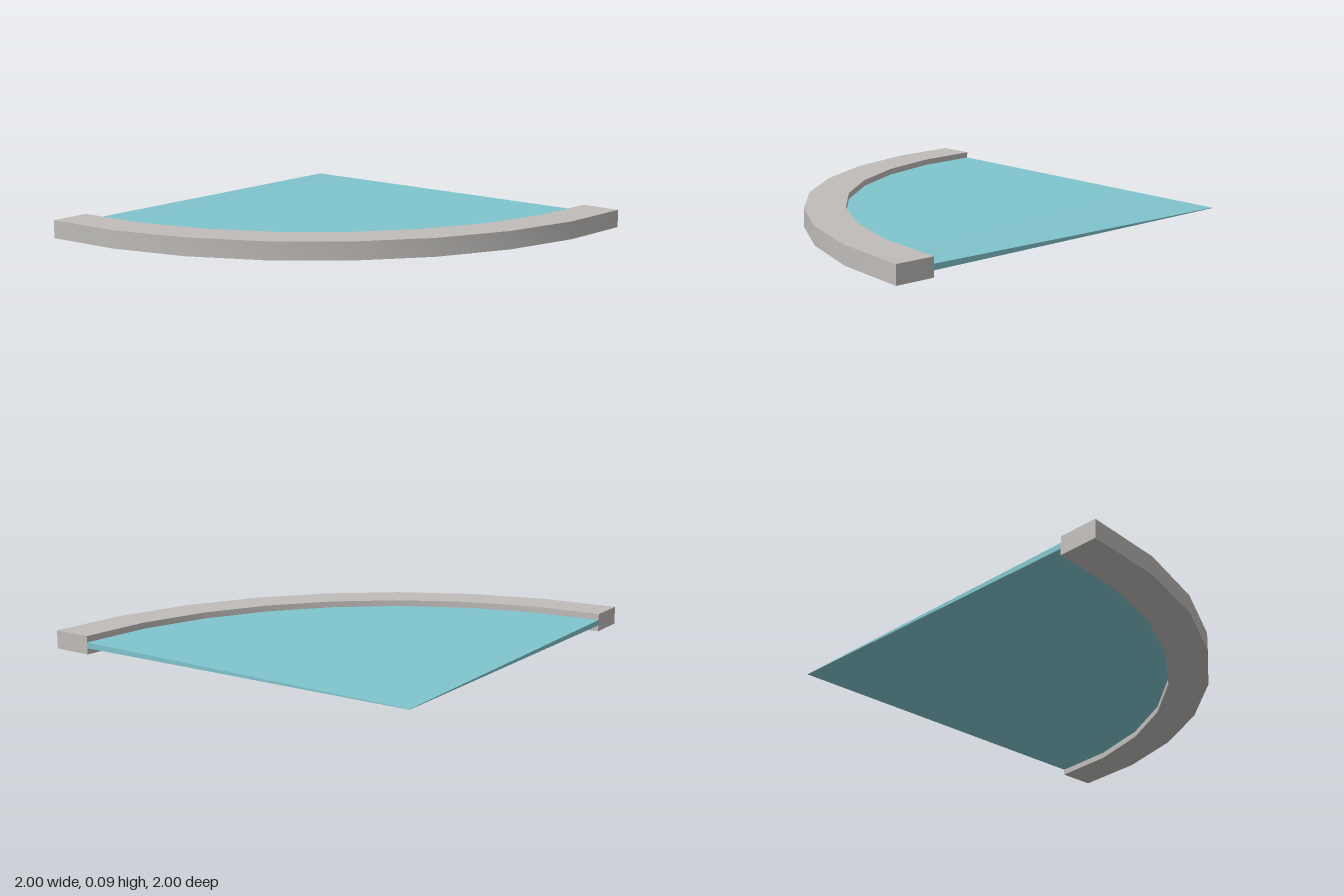
import * as THREE from 'three';
import { toCreasedNormals } from 'three/addons/utils/BufferGeometryUtils.js';

const OUTER = 2, INNER = 1.8, STEPS = 8;
const HEIGHT = 0.09, MID = HEIGHT / 2;

// points along the quarter arc, centred on the back left corner
function arc(radius) {
  return Array.from({ length: STEPS + 1 }, (_, i) => {
    const a = Math.PI + (i / STEPS) * Math.PI / 2;
    return new THREE.Vector2(1 + radius * Math.cos(a), 1 + radius * Math.sin(a));
  });
}

// flat slab standing on y = bottom
function slab(points, thickness, bottom) {
  const g = new THREE.ExtrudeGeometry(new THREE.Shape(points), { depth: thickness, bevelEnabled: false });
  g.rotateX(-Math.PI / 2);
  g.translate(0, bottom, 0);
  return g;
}

export function createModel() {
  const frameGrey = new THREE.MeshStandardMaterial({ color: 0xbfbcb9 });
  frameGrey.name = 'frameGrey';
  const paneBlue = new THREE.MeshStandardMaterial({ color: 0x80c4cd });
  paneBlue.name = 'paneBlue';

  const model = new THREE.Group();
  model.name = 'quarterRoundPanel';

  // curved border
  const rim = slab([...arc(OUTER), ...arc(INNER).reverse()], HEIGHT, 0);
  const border = new THREE.Mesh(toCreasedNormals(rim, Math.PI / 6), frameGrey);
  border.name = 'curvedBorder';

  // pane, thinning from the border to the corner
  const sector = slab([new THREE.Vector2(1, 1), ...arc(INNER)], 0.028, MID - 0.014);
  const pos = sector.attributes.position;
  for (let i = 0; i < pos.count; i++) {
    const r = Math.hypot(pos.getX(i) - 1, pos.getZ(i) + 1);
    if (r < 0.01) pos.setY(i, MID + Math.sign(pos.getY(i) - MID) * 0.001);
  }
  const pane = new THREE.Mesh(toCreasedNormals(sector, Math.PI / 6), paneBlue);
  pane.name = 'pane';

  model.add(border, pane);
  return model;
}
